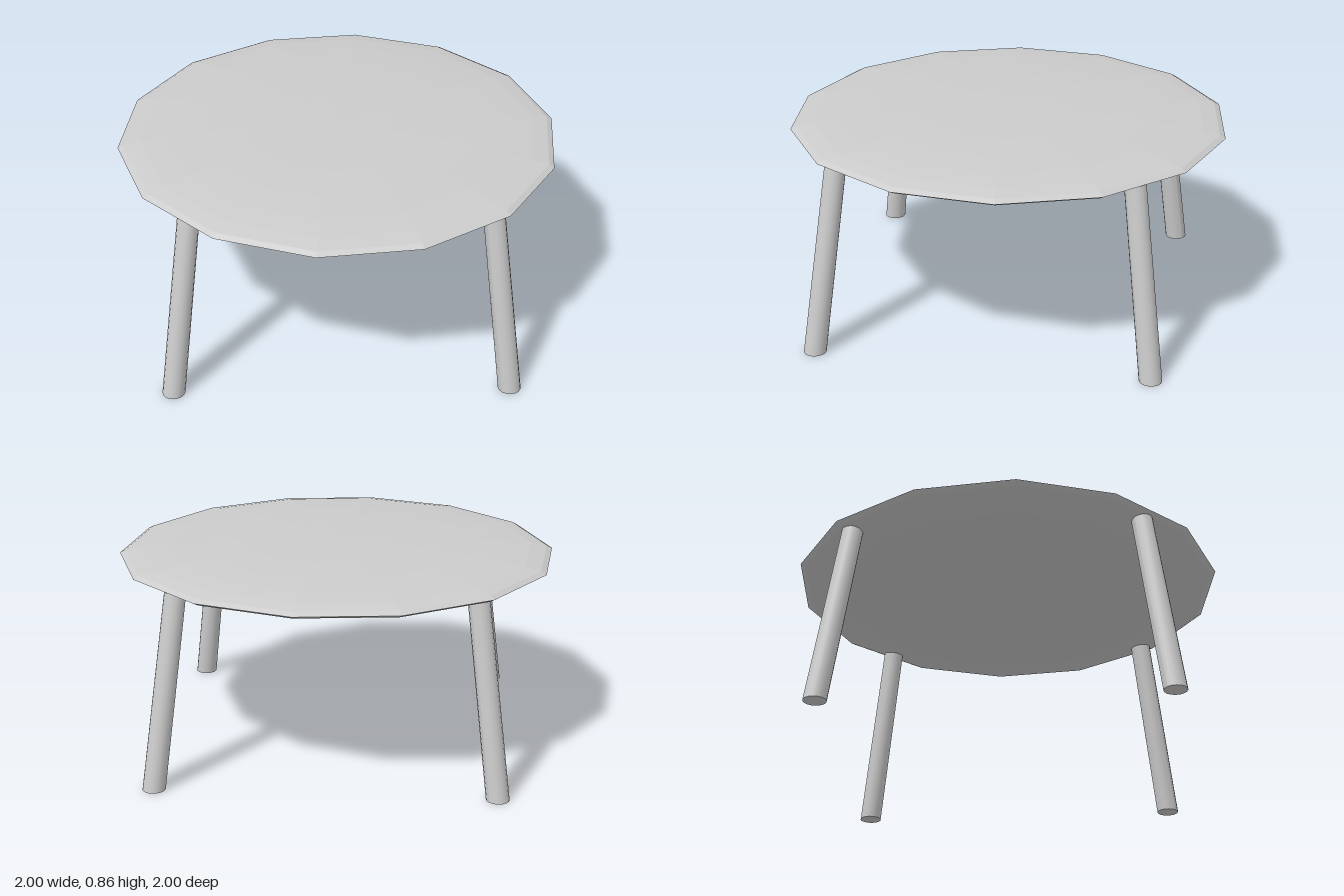
import * as THREE from 'three';

const LEG_TOP_Y = 0.79;

// Splayed, slightly tapered leg leaning towards the centre, with its ends level
function legGeometry() {
  const geometry = new THREE.CylinderGeometry(0.043, 0.046, LEG_TOP_Y, 16);
  geometry.translate(0, LEG_TOP_Y / 2, 0);
  const p = geometry.attributes.position;
  for (let i = 0; i < p.count; i++) {
    p.setX(i, p.getX(i) + THREE.MathUtils.lerp(0.954, 0.819, p.getY(i) / LEG_TOP_Y));
  }
  geometry.computeVertexNormals();
  return geometry;
}

export function createModel() {
  const group = new THREE.Group();
  group.name = 'roundTable';

  // Tabletop: flattened 14-sided ellipsoid with a corner at front and back
  const topGeometry = new THREE.SphereGeometry(1, 14, 14);
  topGeometry.rotateY(Math.PI / 2);
  topGeometry.scale(0.9, 0.055, 0.9);
  topGeometry.translate(0, 0.8, 0);
  const top = new THREE.Mesh(
    topGeometry,
    new THREE.MeshStandardMaterial({ color: 0xcccccc, flatShading: true })
  );
  top.name = 'tabletop';
  group.add(top);

  // Four legs, one on each axis
  const geometry = legGeometry();
  const material = new THREE.MeshStandardMaterial({ color: 0xcccccc });
  ['leftLeg', 'backLeg', 'rightLeg', 'frontLeg'].forEach((name, i) => {
    const leg = new THREE.Mesh(geometry, material);
    leg.name = name;
    leg.rotation.y = (i * Math.PI) / 2;
    group.add(leg);
  });

  return group;
}
